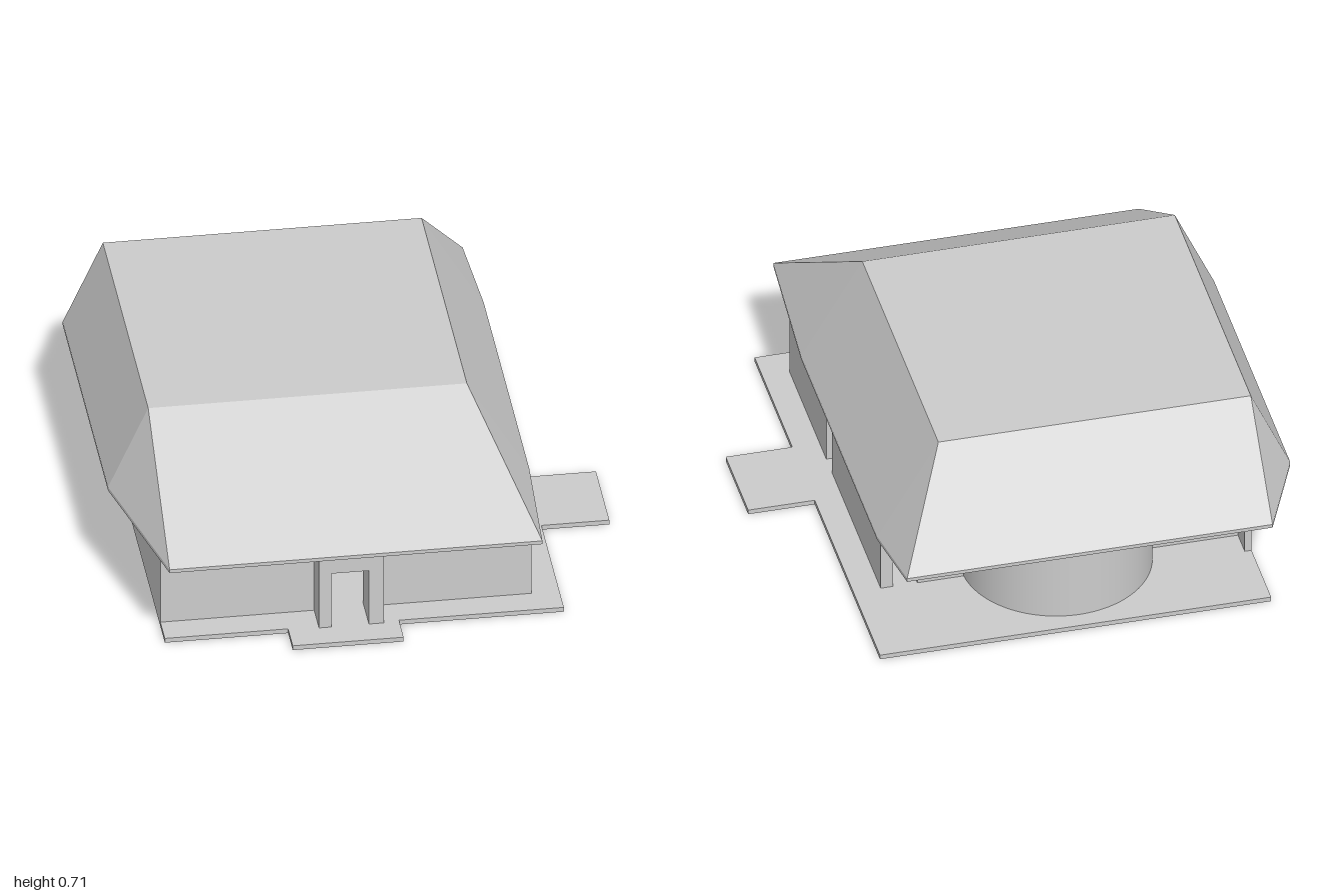
import * as THREE from 'three';

const mat = new THREE.MeshStandardMaterial({ color: 0xcccccc, side: THREE.DoubleSide });
const FLOOR = 0.018, WALL_TOP = 0.35, DOOR_TOP = 0.243, T = 0.025;

export function createModel() {
  const model = new THREE.Group();

  const add = (name, geometry) => {
    const mesh = new THREE.Mesh(geometry, mat);
    mesh.name = name;
    model.add(mesh);
    return mesh;
  };

  // Box given by its low and high limits
  const block = (name, x0, x1, y0, y1, z0, z1) =>
    add(name, new THREE.BoxGeometry(x1 - x0, y1 - y0, z1 - z0))
      .position.set((x0 + x1) / 2, (y0 + y1) / 2, (z0 + z1) / 2);

  // Flat slab from an [x, z] outline
  const slab = (name, outline, y, depth) => {
    const shape = new THREE.Shape(outline.map(([x, z]) => new THREE.Vector2(x, -z)));
    const geo = new THREE.ExtrudeGeometry(shape, { depth, bevelEnabled: false });
    add(name, geo.rotateX(-Math.PI / 2).translate(0, y, 0));
  };

  // Wall with a doorway; along x or along z, 'at' is the low face on the other axis
  const doorWall = (name, axis, from, to, at, thick, d0, d1) => {
    const piece = (a, b, y0, y1) => axis === 'x'
      ? block(name, a, b, y0, y1, at, at + thick)
      : block(name, at, at + thick, y0, y1, a, b);
    piece(from, d0, FLOOR, WALL_TOP);
    piece(d1, to, FLOOR, WALL_TOP);
    piece(d0, d1, DOOR_TOP, WALL_TOP);
  };

  // Ground slab with a front step and a side landing
  slab('floor', [
    [-0.775, 0.885], [-0.33, 0.885], [-0.33, 1], [0.07, 1], [0.07, 0.885], [0.665, 0.885],
    [0.665, 0.33], [0.91, 0.33], [0.91, 0], [0.665, 0], [0.665, -0.96], [-0.775, -0.96],
  ], 0, FLOOR);

  // Outer walls
  doorWall('rightWall', 'z', -0.57, 0.775, 0.565 - T, T, 0.145, 0.23);
  block('leftWall', -0.775, -0.775 + T, FLOOR, 0.66, -0.67, 0.44);
  block('leftWallFront', -0.775, -0.775 + T, FLOOR, WALL_TOP, 0.44, 0.775);
  block('frontWallLeft', -0.775, -0.22, FLOOR, WALL_TOP, 0.775 - T, 0.775);
  block('frontWallRight', 0.015, 0.565, FLOOR, WALL_TOP, 0.775 - T, 0.775);
  doorWall('backWall', 'x', 0.24, 0.565, -0.57, T, 0.43, 0.52);
  block('backWallLeft', -0.775, -0.42, FLOOR, WALL_TOP, -0.57, -0.57 + T);

  // Front porch around the main door
  doorWall('porchFront', 'x', -0.22, 0.015, 0.895 - T, T, -0.175, -0.04);
  block('porchSideLeft', -0.22, -0.175, FLOOR, WALL_TOP, 0.75, 0.87);
  block('porchSideRight', -0.04, 0.015, FLOOR, WALL_TOP, 0.75, 0.87);

  // Half-round room at the back
  add('roundRoom', new THREE.CylinderGeometry(0.345, 0.345, WALL_TOP - FLOOR, 40, 1, true, Math.PI / 2, Math.PI))
    .position.set(-0.085, (WALL_TOP + FLOOR) / 2, -0.55);

  // Ceiling reaching over the round room
  slab('ceiling', [
    [-0.775, 0.775], [0.56, 0.775], [0.56, -0.57], [-0.11, -0.975], [-0.4, -0.78], [-0.42, -0.56], [-0.775, -0.56],
  ], WALL_TOP, 0.008);

  // Loft walls under the roof
  block('loftBack', -0.75, -0.14, WALL_TOP, 0.69, -0.57, -0.57 + T);
  block('loftSide', -0.14 - T, -0.14, WALL_TOP, 0.69, -0.545, 0.4);

  // Hipped roof: an eave ring joined to a flat top, with thickness
  const eave = [
    [-0.77, 0.36, 0.97], [0.575, 0.36, 0.97], [0.605, 0.332, 0.44], [0.605, 0.332, -0.68],
    [0.575, 0.37, -1], [-0.77, 0.37, -1], [-0.915, 0.392, -0.68], [-0.915, 0.392, 0.44],
  ];
  const top = [[-0.77, 0.712, 0.44], [0.38, 0.712, 0.44], [0.38, 0.712, -0.68], [-0.77, 0.712, -0.68]];
  const pos = [];
  const down = ([x, y, z]) => [x, y - 0.014, z];
  const tri = (a, b, c) => pos.push(...a, ...b, ...c);
  const panel = (a, b, c) => {
    tri(a, b, c);
    tri(down(a), down(c), down(b));
  };
  for (let i = 0; i < 8; i++) {
    const j = (i + 1) % 8;
    const a = eave[i], b = eave[j];
    const ta = top[Math.floor(((i + 1) % 8) / 2)], tb = top[Math.floor(((j + 1) % 8) / 2)];
    panel(a, b, tb);
    if (ta !== tb) panel(a, tb, ta);
    tri(down(a), down(b), b);
    tri(down(a), b, a);
  }
  panel(top[0], top[1], top[2]);
  panel(top[0], top[2], top[3]);
  const roof = new THREE.BufferGeometry();
  roof.setAttribute('position', new THREE.Float32BufferAttribute(pos, 3));
  roof.computeVertexNormals();
  add('roof', roof);

  return model;
}
